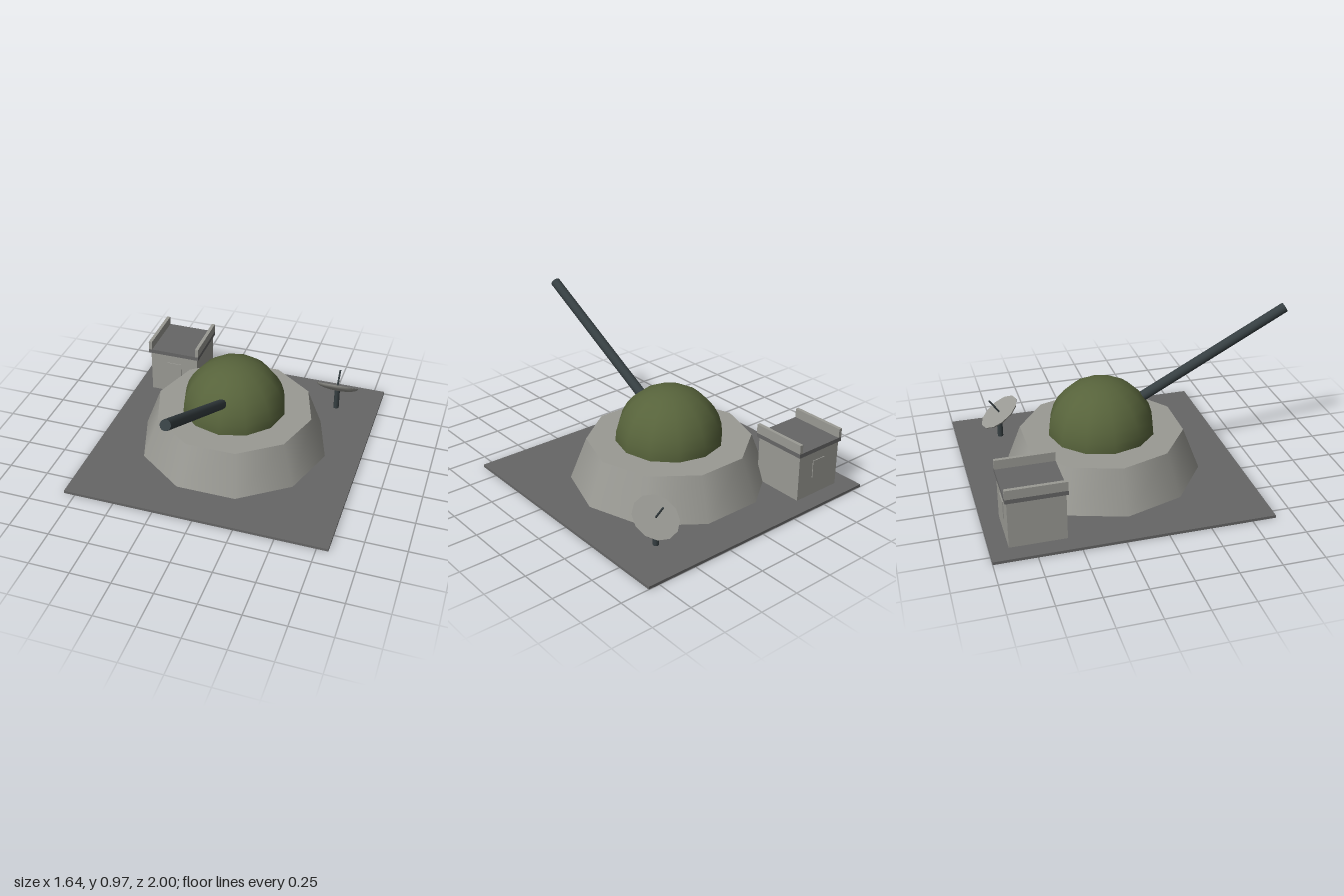
import * as THREE from 'three';

const material = (name, color) => {
  const m = new THREE.MeshStandardMaterial({ color });
  m.name = name;
  return m;
};

export function createModel() {
  const concrete = material('concrete', 0x9a9a94);
  const asphalt = material('asphalt', 0x666666);
  const green = material('armour green', 0x57633b);
  const steel = material('dark steel', 0x363f42);

  const model = new THREE.Group();
  model.name = 'gunEmplacement';

  const add = (name, geometry, mat, x, y, z, parent = model) => {
    const mesh = new THREE.Mesh(geometry, mat);
    mesh.name = name;
    mesh.position.set(x, y, z);
    parent.add(mesh);
    return mesh;
  };
  const box = (name, w, h, d, mat, x, y, z, parent) =>
    add(name, new THREE.BoxGeometry(w, h, d), mat, x, y, z, parent);

  // Ground slab
  const floor = 0.017;
  box('groundSlab', 1.64, floor, 1.64, asphalt, 0, floor / 2, -0.18);

  // Ten-sided pedestal with corners on the x axis
  const deck = 0.28;
  add('pedestal',
    new THREE.CylinderGeometry(0.5, 0.6, deck - floor, 10, 1, false, Math.PI / 10),
    concrete, 0, (deck + floor) / 2, -0.18);

  // Turret dome
  add('turretDome',
    new THREE.SphereGeometry(0.327, 12, 8, 0, Math.PI * 2, 0, Math.PI / 2),
    green, 0, deck, -0.18);

  // Raised gun barrel, running from inside the dome to the muzzle
  const breech = new THREE.Vector3(0, 0.37, -0.093);
  const muzzle = new THREE.Vector3(0, 0.943, 0.985);
  const aim = muzzle.clone().sub(breech);
  const centre = breech.clone().add(muzzle).multiplyScalar(0.5);
  const barrel = add('gunBarrel',
    new THREE.CylinderGeometry(0.031, 0.031, aim.length(), 12),
    steel, centre.x, centre.y, centre.z);
  barrel.quaternion.setFromUnitVectors(new THREE.Vector3(0, 1, 0), aim.normalize());

  // Guard house: walls, roof, side parapets, raised window panels front and back
  const house = new THREE.Group();
  house.name = 'guardHouse';
  house.position.set(-0.548, 0, -0.726);
  model.add(house);
  box('walls', 0.325, 0.29, 0.332, concrete, 0, floor + 0.145, 0, house);
  box('roof', 0.35, 0.026, 0.352, asphalt, 0, 0.32, 0, house);
  for (const side of [-1, 1]) {
    box('parapet', 0.022, 0.057, 0.352, concrete, side * 0.164, 0.3615, 0, house);
    box('windowPanel', 0.098, 0.11, 0.006, concrete, 0, 0.19, side * 0.168, house);
  }

  // Dish antenna on a short post, tilted up and backwards
  const antenna = new THREE.Group();
  antenna.name = 'dishAntenna';
  antenna.position.set(0.546, 0, -0.722);
  model.add(antenna);
  add('post', new THREE.CylinderGeometry(0.018, 0.018, 0.143, 8), steel,
    0, floor + 0.0715, 0, antenna);

  const head = new THREE.Group();
  head.name = 'dishHead';
  head.position.y = 0.1925;
  head.rotation.x = -0.6;
  antenna.add(head);
  const r = 0.141;
  const bowl = [];
  for (let i = 0; i <= 5; i++) {
    const a = (i / 5) * Math.PI / 2;
    bowl.push(new THREE.Vector2(r * Math.sin(a), -0.035 * Math.cos(a)));
  }
  add('dishBowl', new THREE.LatheGeometry(bowl, 12), concrete, 0, 0, 0, head);
  const face = add('dishFace', new THREE.CircleGeometry(r, 12), concrete, 0, 0, 0, head);
  face.rotation.x = -Math.PI / 2;
  add('feedRod', new THREE.CylinderGeometry(0.006, 0.006, 0.11, 8), steel, 0, 0.05, 0, head);

  return model;
}
